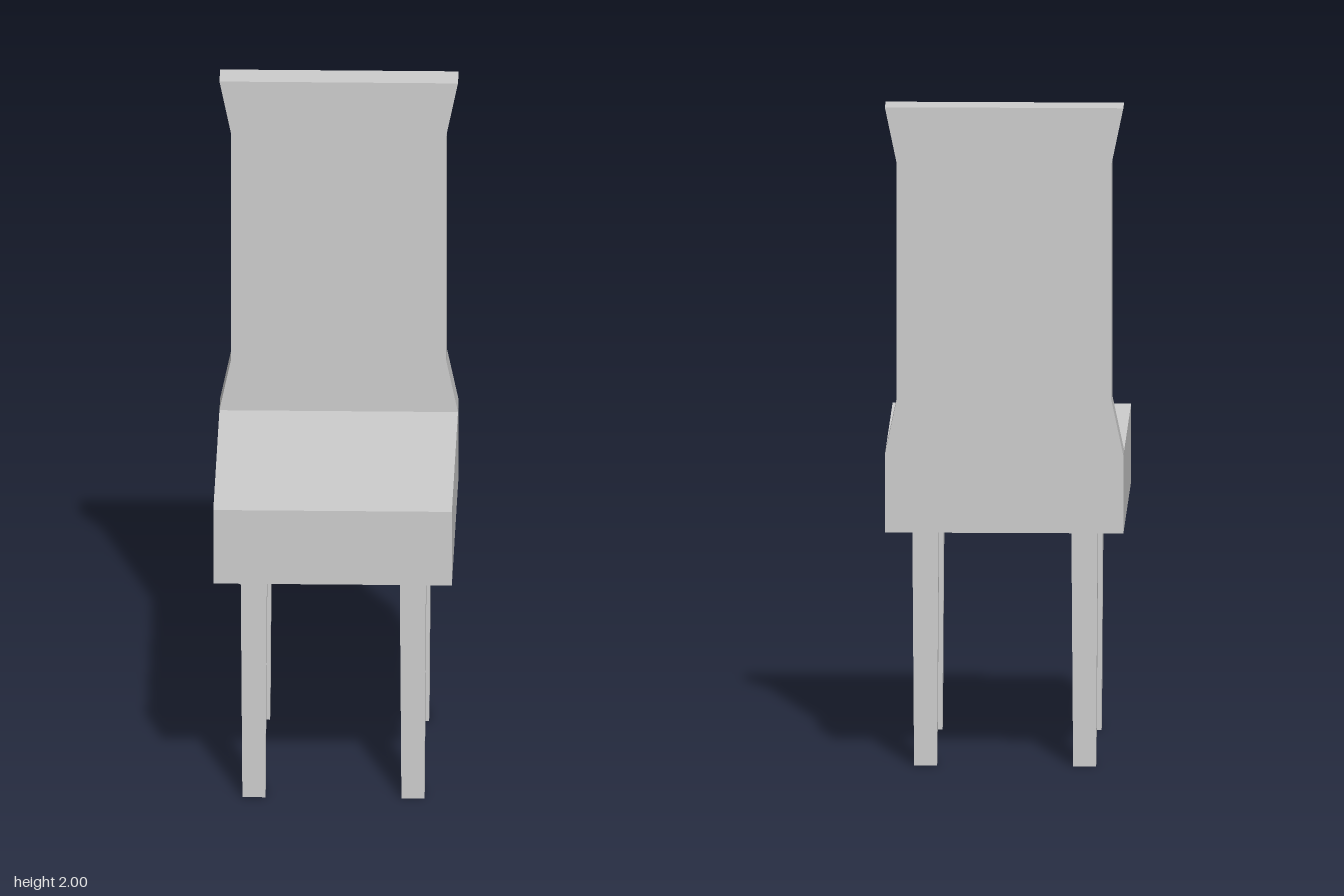
import * as THREE from 'three';

const SEAT_BOTTOM = 0.72, SEAT_TOP = 0.954, HALF_W = 0.354, HALF_D = 0.459;
const BACK_FRONT_Z = -0.36;

export function createModel() {
  const chair = new THREE.Group();
  chair.name = 'chair';
  const material = new THREE.MeshStandardMaterial({ color: 0xcccccc, flatShading: true });

  const add = (name, geometry, x, y, z) => {
    const mesh = new THREE.Mesh(geometry, material);
    mesh.name = name;
    mesh.position.set(x, y, z);
    chair.add(mesh);
  };

  // Thick block seat
  const seatHeight = SEAT_TOP - SEAT_BOTTOM;
  add('seat', new THREE.BoxGeometry(HALF_W * 2, seatHeight, HALF_D * 2),
    0, SEAT_BOTTOM + seatHeight / 2, 0);

  // Backrest: waisted outline, flared at top and bottom
  const rightEdge = [[HALF_W, SEAT_TOP], [0.319, 1.118], [0.319, 1.832], [HALF_W, 2]];
  const leftEdge = rightEdge.map(([x, y]) => [-x, y]).reverse();
  const outline = new THREE.Shape([...rightEdge, ...leftEdge].map(([x, y]) => new THREE.Vector2(x, y)));
  add('backrest', new THREE.ExtrudeGeometry(outline, {
    depth: BACK_FRONT_Z + HALF_D, bevelEnabled: false,
  }), 0, 0, -HALF_D);

  // Four square legs, slightly narrower at the foot
  const legGeometry = new THREE.CylinderGeometry(0.039 * Math.SQRT2, 0.034 * Math.SQRT2, SEAT_BOTTOM, 4);
  legGeometry.rotateY(Math.PI / 4);
  for (const [sideName, x] of [['Left', 0.236], ['Right', -0.236]]) {
    for (const [endName, z] of [['front', 0.319], ['back', -0.317]]) {
      add(`${endName}${sideName}Leg`, legGeometry, x, SEAT_BOTTOM / 2, z);
    }
  }

  return chair;
}
